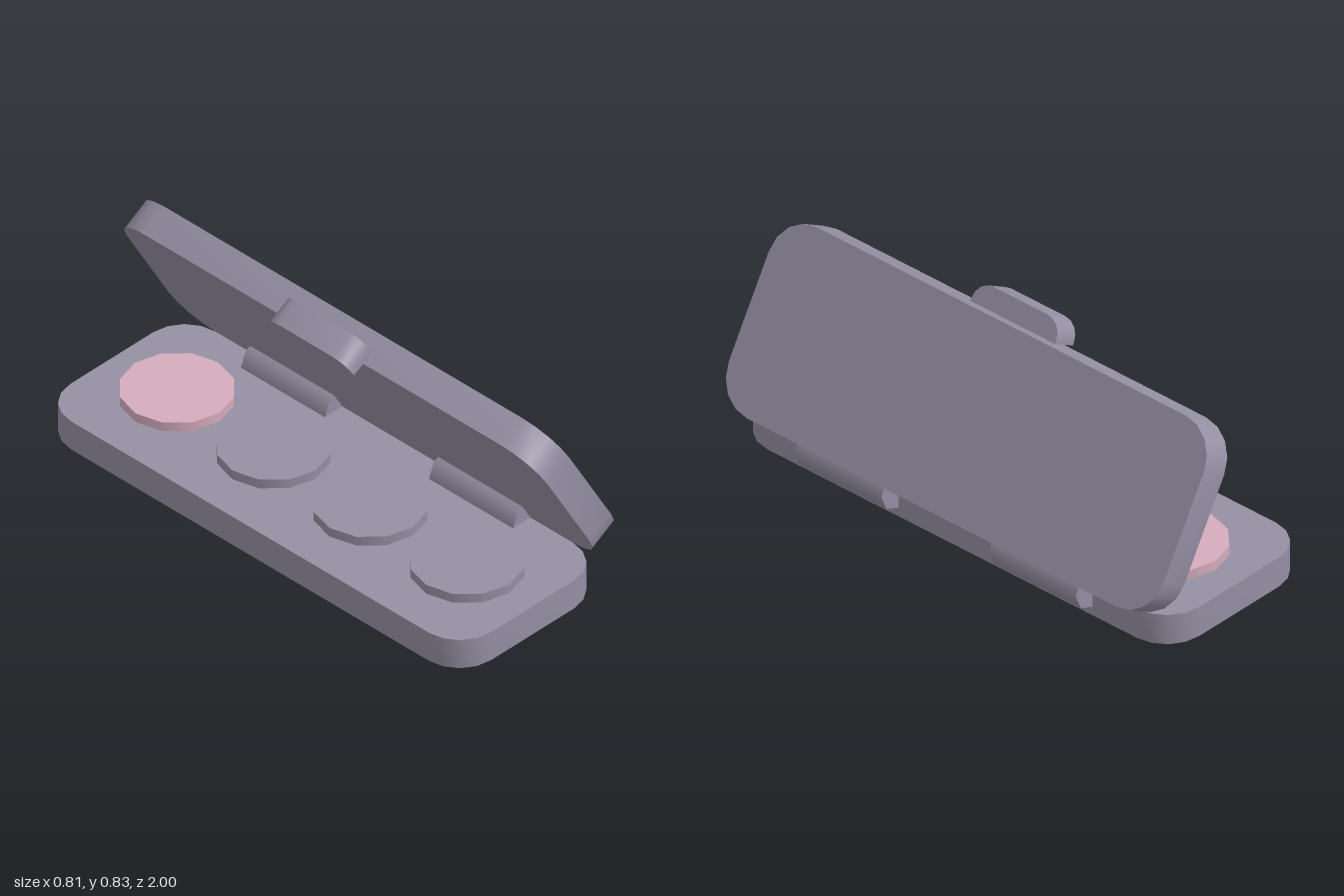
import * as THREE from 'three';
import { toCreasedNormals } from 'three/addons/utils/BufferGeometryUtils.js';

const WIDTH = 0.705, LENGTH = 2, THICK = 0.12;
const HINGE_X = 0.3, OPEN_ANGLE = Math.PI / 3;

// Lay a shape flat (its y becomes depth) and give it height, smoothing only the rounded corners
function slab(shape, height) {
  const geometry = new THREE.ExtrudeGeometry(shape, { depth: height, bevelEnabled: false, curveSegments: 2 });
  geometry.rotateX(-Math.PI / 2);
  return toCreasedNormals(geometry, 1.0);
}

// Rectangle from x0 to x1, with rounded corners on the left and optionally the right
function roundedShape(x0, x1, half, r, roundRight) {
  const s = new THREE.Shape();
  const q = Math.PI / 2;
  s.absarc(x0 + r, half - r, r, q, 2 * q, false);
  s.absarc(x0 + r, -half + r, r, 2 * q, 3 * q, false);
  if (roundRight) {
    s.absarc(x1 - r, -half + r, r, -q, 0, false);
    s.absarc(x1 - r, half - r, r, 0, q, false);
  } else {
    s.lineTo(x1, -half);
    s.lineTo(x1, half);
  }
  s.closePath();
  return s;
}

export function createModel() {
  const model = new THREE.Group();
  model.name = 'compactCase';

  const shell = new THREE.MeshStandardMaterial({ color: 0x958fa3 });
  shell.name = 'mauve grey';
  const pink = new THREE.MeshStandardMaterial({ color: 0xd6acbc });
  pink.name = 'soft pink';

  const add = (parent, name, geometry, material) => {
    const mesh = new THREE.Mesh(geometry, material);
    mesh.name = name;
    parent.add(mesh);
    return mesh;
  };

  // Tray with rounded corners
  const outline = roundedShape(-WIDTH, 0, LENGTH / 2, 0.15, true);
  const base = add(model, 'base', slab(outline, THICK), shell);
  base.position.x = HINGE_X;

  // Lid and clasp share the hinge pivot
  const lid = new THREE.Group();
  lid.name = 'lid';
  lid.position.set(HINGE_X, THICK, 0);
  lid.rotation.z = -OPEN_ANGLE;
  model.add(lid);
  add(lid, 'lidPanel', slab(outline, THICK), shell);

  const clasp = roundedShape(-WIDTH - 0.08, -WIDTH, 0.195, 0.07, false);
  add(lid, 'clasp', slab(clasp, 0.104), shell).position.y = -0.052;

  // Two hinge barrels
  for (const side of [-1, 1]) {
    const barrel = new THREE.CylinderGeometry(0.085, 0.085, 0.4, 8).rotateX(Math.PI / 2);
    add(model, side < 0 ? 'backHinge' : 'frontHinge', barrel, shell)
      .position.set(HINGE_X, THICK, side * 0.447);
  }

  // Row of four round pans, the rearmost one pink
  for (let i = 0; i < 4; i++) {
    const pan = new THREE.CylinderGeometry(0.201, 0.201, 0.057, 12);
    add(model, 'pan' + (i + 1), pan, i === 0 ? pink : shell)
      .position.set(-0.053, 0.1285, -0.69 + i * 0.46);
  }

  return model;
}
